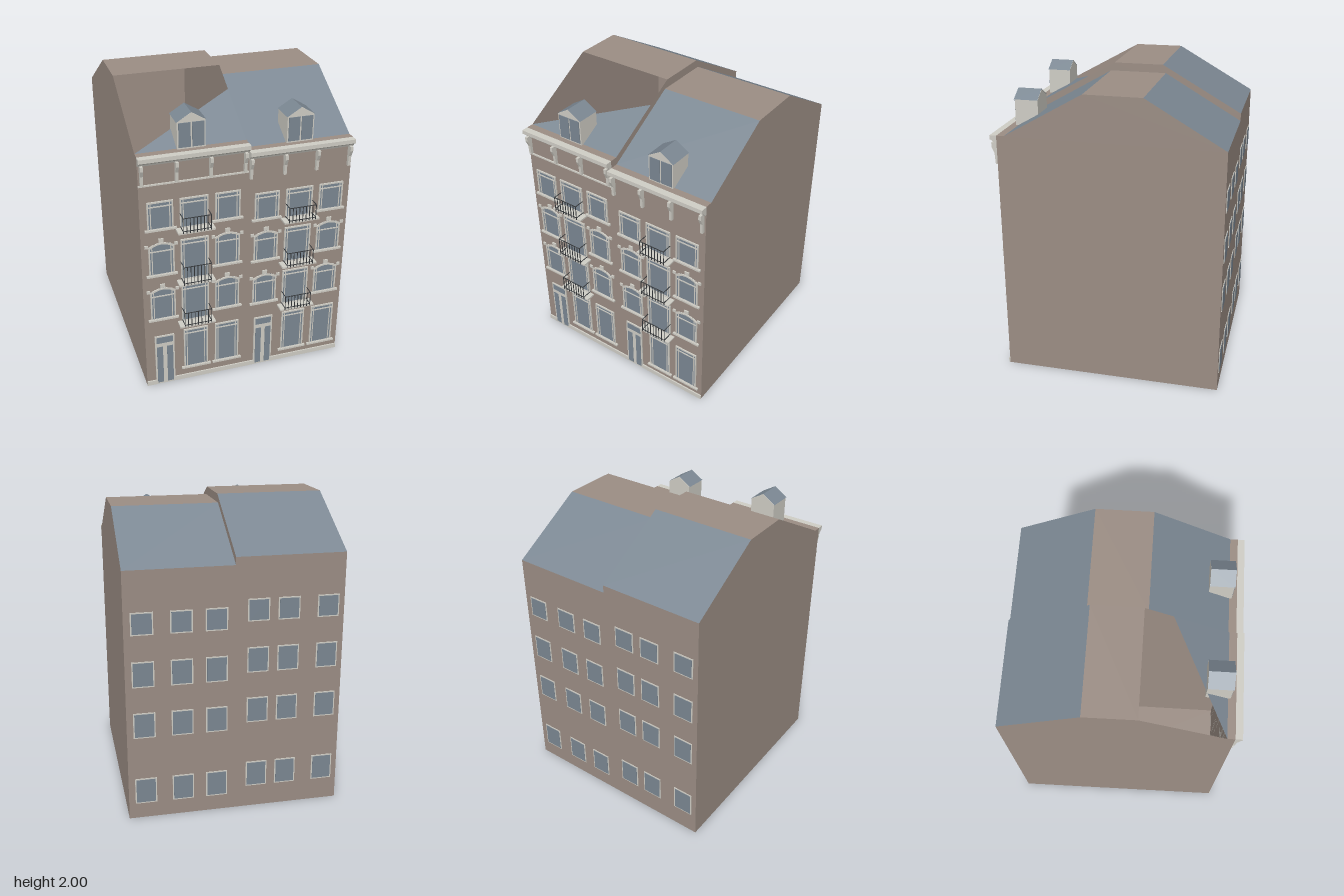
import * as THREE from 'three';

const flat = (name, color, side = THREE.FrontSide) => {
  const m = new THREE.MeshStandardMaterial({ color, side });
  m.name = name;
  return m;
};

export function createModel() {
  const wall = flat('brick', 0x9b8d84, THREE.DoubleSide);
  const slate = flat('slate and glass', 0x7b8792, THREE.DoubleSide);
  const pale = flat('pale stone', 0xcfcdc5);
  const iron = flat('dark iron', 0x36393c);
  const FRONT = 0.69, BACK = -0.76;
  const model = new THREE.Group();
  model.name = 'townhouses';

  const put = (parent, name, geometry, material) => {
    const mesh = new THREE.Mesh(geometry, material);
    mesh.name = name;
    parent.add(mesh);
    return mesh;
  };
  const group = (parent, name) => {
    const g = new THREE.Group();
    g.name = name;
    parent.add(g);
    return g;
  };
  // Box given by its limits on each axis
  const box = (parent, name, mat, x0, x1, y0, y1, z0, z1) =>
    put(parent, name, new THREE.BoxGeometry(x1 - x0, y1 - y0, z1 - z0), mat)
      .position.set((x0 + x1) / 2, (y0 + y1) / 2, (z0 + z1) / 2);
  // Flat polygon, fanned from its first corner
  const face = (parent, name, mat, ...p) => {
    const v = [];
    for (let i = 1; i < p.length - 1; i++) v.push(...p[0], ...p[i], ...p[i + 1]);
    const g = new THREE.BufferGeometry();
    g.setAttribute('position', new THREE.Float32BufferAttribute(v, 3));
    g.computeVertexNormals();
    return put(parent, name, g, mat);
  };
  // Profile of [z, y] points swept along x
  const sweep = (parent, name, mat, profile, x0, x1) => {
    const s = new THREE.Shape(profile.map(([z, y]) => new THREE.Vector2(-z, y)));
    const g = new THREE.ExtrudeGeometry(s, { depth: x1 - x0, bevelEnabled: false });
    g.rotateY(Math.PI / 2).translate(x0, 0, 0);
    return put(parent, name, g, mat);
  };
  // Window outline with an optional segmental head
  const outline = (Type, w, y0, y1, rise) => {
    const s = new Type();
    s.moveTo(-w / 2, y0).lineTo(w / 2, y0).lineTo(w / 2, y1 - rise);
    if (rise) s.quadraticCurveTo(0, y1 + rise, -w / 2, y1 - rise);
    else s.lineTo(-w / 2, y1);
    s.closePath();
    return s;
  };

  const frontWindow = (parent, x, w, y0, y1, rise = 0, sill = true) => {
    const g = group(parent, 'frontWindow');
    g.position.set(x, 0, FRONT);
    put(g, 'glass', new THREE.ShapeGeometry(outline(THREE.Shape, w, y0, y1, rise)), slate).position.z = 0.003;
    const ring = outline(THREE.Shape, w, y0, y1, rise);
    ring.holes.push(outline(THREE.Path, w - 0.018, y0 + 0.009, y1 - 0.01, rise));
    put(g, 'frame', new THREE.ExtrudeGeometry(ring, { depth: 0.009, bevelEnabled: false, curveSegments: 6 }), pale);
    const top = y1 - rise - 0.035;
    box(g, 'transom', pale, -w / 2, w / 2, top - 0.004, top + 0.004, 0, 0.007);
    for (const s of [-1, 1]) {
      const c = s * (w / 2 - 0.022);
      box(g, 'sashBar', pale, c - 0.003, c + 0.003, y0, y1 - rise * 0.5, 0, 0.006);
    }
    if (sill) box(g, 'sill', pale, -w / 2 - 0.018, w / 2 + 0.018, y0 - 0.006, y0 + 0.007, 0, 0.016);
    if (rise) {
      box(g, 'keystone', pale, -0.016, 0.016, y1 + 0.004, y1 + 0.03, 0, 0.009);
      for (const s of [-1, 1]) {
        const c = s * (w / 2 + 0.012);
        box(g, 'impost', pale, c - 0.011, c + 0.011, y1 - 0.028, y1 - 0.008, 0, 0.009);
      }
    }
  };

  const balcony = (parent, x, y0, y1) => {
    const g = group(parent, 'balcony');
    g.position.set(x, 0, FRONT);
    const h = 0.09, out = 0.074, t = 0.002;
    box(g, 'slab', pale, -0.12, 0.12, y0 - 0.008, y0 + 0.004, 0, 0.07);
    for (const y of [y0 + 0.015, y1]) {
      box(g, 'frontRail', iron, -h, h, y - t, y + t, out - t, out + t);
      for (const s of [-h, h]) box(g, 'sideRail', iron, s - t, s + t, y - t, y + t, 0, out);
    }
    for (let i = 0; i <= 8; i++) {
      const c = -h + i * h / 4;
      box(g, 'baluster', iron, c - t, c + t, y0, y1, out - t, out + t);
    }
  };

  const door = (parent, x) => {
    const g = group(parent, 'door');
    g.position.set(x, 0, FRONT);
    box(g, 'doorSurround', pale, -0.066, 0.066, 0, 0.395, 0, 0.008);
    box(g, 'fanlight', slate, -0.055, 0.055, 0.338, 0.385, 0, 0.01);
    for (const s of [-1, 1])
      box(g, 'doorLeaf', slate, s < 0 ? -0.055 : 0.014, s < 0 ? -0.014 : 0.055, 0.012, 0.308, 0, 0.01);
  };

  const dormer = (parent, x, y) => {
    const g = group(parent, 'dormer');
    g.position.set(x, y, 0);
    const w = 0.088, eave = 0.172, ridge = 0.225, z0 = 0.5, z1 = 0.655;
    const s = new THREE.Shape([[-w, 0], [w, 0], [w, eave], [0, ridge], [-w, eave]].map(p => new THREE.Vector2(...p)));
    put(g, 'dormerBody', new THREE.ExtrudeGeometry(s, { depth: z1 - z0, bevelEnabled: false }), pale).position.z = z0;
    for (const k of [-1, 1]) {
      const e = k * (w + 0.005);
      face(g, 'dormerRoof', slate, [0, ridge + 0.004, z0], [0, ridge + 0.004, z1 + 0.005],
        [e, eave, z1 + 0.005], [e, eave, z0]);
      const a = k < 0 ? -w + 0.009 : 0.005;
      box(g, 'dormerPane', slate, a, a + w - 0.014, 0.01, eave - 0.006, z1, z1 + 0.004);
    }
  };

  const house = h => {
    const g = group(model, h.name);
    const { xf, xb, x1, eave: e, ridge: r, rf, rb } = h;
    // Shell: walls, floor, gutter strip, flat ridge and slopes
    const gable = [[BACK, 0], [FRONT, 0], [FRONT, e], [0.64, e], [rf, r], [rb, r], [BACK, e]];
    const xAt = z => xb + (xf - xb) * (z - BACK) / (FRONT - BACK);
    if (h.open) face(g, 'outerWall', wall, ...gable.map(([z, y]) => [xAt(z), y, z]).reverse());
    face(g, 'sideWall', wall, ...gable.map(([z, y]) => [x1, y, z]).reverse());
    const span = (name, mat, [za, ya], [zb, yb]) =>
      face(g, name, mat, [xAt(za), ya, za], [x1, ya, za], [x1, yb, zb], [xAt(zb), yb, zb]);
    const names = ['floor', 'frontWall', 'gutter', 'frontSlope', 'flatRoof', 'backSlope', 'backWall'];
    names.forEach((name, i) => {
      const mat = name.endsWith('Slope') ? slate : wall;
      if (name === 'frontSlope' && h.open) // partly open slope
        face(g, name, mat, [xf, e, 0.64], [x1, e, 0.64], [x1, e + (r - e) * 0.667, 0.28]);
      else span(name, mat, gable[i], gable[(i + 1) % 7]);
    });

    // Cornice, brackets and plinth
    sweep(g, 'cornice', pale, [[FRONT, e - 0.055], [0.705, e - 0.055], [0.712, e - 0.042], [0.728, e - 0.028],
      [0.735, e - 0.026], [0.735, e], [FRONT, e]], xf, x1);
    for (const bx of h.brackets)
      sweep(g, 'bracket', pale, [[FRONT, e - h.drop], [0.708, e - h.drop], [0.712, e - 0.12], [0.73, e - 0.08],
        [0.73, e - 0.05], [FRONT, e - 0.05]], bx - 0.009, bx + 0.009);
    if (h.open) box(g, 'friezeBand', pale, xf, x1, 1.505, 1.515, FRONT, 0.699);
    const d = h.cols[0];
    box(g, 'plinth', pale, xf, d - 0.066, 0, 0.033, FRONT, 0.699);
    box(g, 'plinth', pale, d + 0.066, x1, 0, 0.033, FRONT, 0.699);

    // Street front
    door(g, d);
    for (const c of [1, 2]) frontWindow(g, h.cols[c], 0.166, ...h.ground);
    h.floors.forEach(([s0, s1, c0, c1, railTop], i) => {
      const rise = i < 2 ? 0.025 : 0;
      for (const c of [0, 2]) frontWindow(g, h.cols[c], 0.165, s0, s1, rise);
      frontWindow(g, h.cols[1], 0.183, c0, c1, 0, false);
      balcony(g, h.cols[1], c0, railTop);
    });
    dormer(g, h.cols[1], e);

    // Rear windows
    for (const c of h.rear) for (const [a, b] of [[0.105, 0.28], [0.565, 0.735], [0.907, 1.075], [1.245, 1.39]]) {
      const y0 = a + h.lift, y1 = b + h.lift;
      box(g, 'rearFrame', pale, c - 0.07, c + 0.07, y0, y1, BACK - 0.004, BACK);
      box(g, 'rearGlass', slate, c - 0.062, c + 0.062, y0 + 0.008, y1 - 0.008, BACK - 0.006, BACK);
    }
  };

  house({
    name: 'tallHouse', open: true, xf: -0.69, xb: -0.7, x1: 0.003, eave: 1.7, ridge: 2, rf: 0.1, rb: -0.23,
    cols: [-0.562, -0.347, -0.13], brackets: [-0.67, -0.455, -0.24, -0.02], drop: 0.185,
    ground: [0.095, 0.41], lift: 0.045, rear: [-0.595, -0.34, -0.145],
    floors: [[0.53, 0.77, 0.482, 0.765, 0.59], [0.87, 1.105, 0.805, 1.105, 0.94], [1.2, 1.395, 1.185, 1.395, 1.29]],
  });
  house({
    name: 'lowHouse', open: false, xf: 0.003, xb: 0.003, x1: 0.695, eave: 1.65, ridge: 1.945, rf: 0.125, rb: -0.25,
    cols: [0.131, 0.35, 0.568], brackets: [0.018, 0.24, 0.455, 0.675], drop: 0.19,
    ground: [0.083, 0.4], lift: 0, rear: [0.12, 0.34, 0.583],
    floors: [[0.515, 0.738, 0.468, 0.74, 0.572], [0.85, 1.068, 0.805, 1.07, 0.912], [1.158, 1.35, 1.14, 1.35, 1.245]],
  });
  return model;
}
